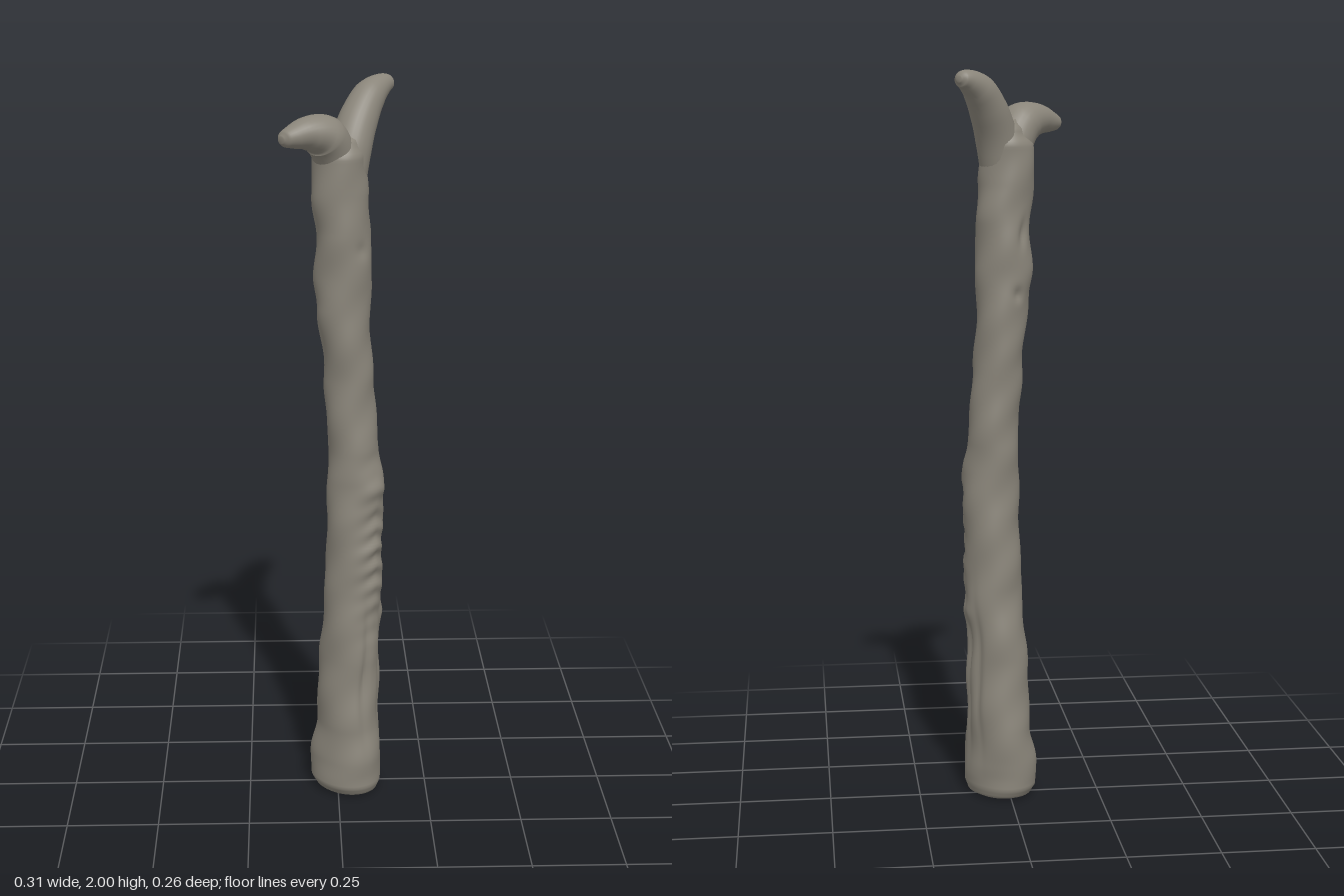
import * as THREE from 'three';

// Skins a list of closed rings (each an array of Vector3) and caps both ends.
function skin(rings) {
  const n = rings[0].length, pos = [], idx = [];
  for (const ring of rings) for (const p of ring) pos.push(p.x, p.y, p.z);
  for (let i = 0; i < rings.length - 1; i++) {
    for (let j = 0; j < n; j++) {
      const k = (j + 1) % n;
      const a = i * n + j, b = i * n + k, c = a + n, d = b + n;
      idx.push(a, b, c, b, d, c);
    }
  }
  for (const end of [0, rings.length - 1]) {
    const mid = new THREE.Vector3();
    rings[end].forEach((p) => mid.addScaledVector(p, 1 / n));
    const m = pos.length / 3;
    pos.push(mid.x, mid.y, mid.z);
    for (let j = 0; j < n; j++) {
      const a = end * n + j, b = end * n + ((j + 1) % n);
      if (end === 0) idx.push(m, b, a);
      else idx.push(m, a, b);
    }
  }
  const g = new THREE.BufferGeometry();
  g.setAttribute('position', new THREE.Float32BufferAttribute(pos, 3));
  g.setIndex(idx);
  g.computeVertexNormals();
  return g;
}

const bell = (v, mid, width) => Math.exp(-(((v - mid) / width) ** 2));
const angleGap = (a, b) => Math.atan2(Math.sin(a - b), Math.cos(a - b));

// Trunk outline: height, left x, right x, back z, front z, stretch along the diagonal
const OUTLINE = [
  [0.0, -0.035, 0.095, -0.055, 0.09, 0.1],
  [0.008, -0.06, 0.11, -0.075, 0.108, 0.1],
  [0.03, -0.073, 0.117, -0.086, 0.122, 0.1],
  [0.1, -0.072, 0.118, -0.09, 0.122, 0.1],
  [0.2, -0.058, 0.115, -0.09, 0.112, 0.08],
  [0.4, -0.05, 0.115, -0.08, 0.102, 0.05],
  [0.6, -0.035, 0.12, -0.071, 0.096, 0.02],
  [0.8, -0.03, 0.124, -0.065, 0.09, 0.0],
  [0.92, -0.027, 0.122, -0.062, 0.087, 0.0],
  [1.0, -0.026, 0.113, -0.064, 0.08, 0.0],
  [1.2, -0.035, 0.096, -0.067, 0.077, 0.0],
  [1.4, -0.055, 0.085, -0.069, 0.084, 0.0],
  [1.48, -0.063, 0.09, -0.068, 0.082, 0.0],
  [1.6, -0.058, 0.088, -0.064, 0.085, 0.0],
  [1.7, -0.068, 0.078, -0.062, 0.088, 0.0],
  [1.8, -0.067, 0.073, -0.058, 0.083, 0.0],
  [1.84, -0.05, 0.06, -0.04, 0.065, 0.0],
  [1.87, -0.025, 0.03, -0.02, 0.035, 0.0],
];

function outlineAt(y) {
  let i = 0;
  while (i < OUTLINE.length - 2 && y > OUTLINE[i + 1][0]) i++;
  const a = OUTLINE[i], b = OUTLINE[i + 1];
  const t = (y - a[0]) / (b[0] - a[0]);
  const s = y < 0.03 ? t : t * t * (3 - 2 * t);
  return a.map((v, k) => v + (b[k] - v) * s);
}

// Carved wrinkles, long bark grooves, knots and gentle lumps
function relief(y, th) {
  const g = angleGap(th, -0.72);
  const wave = Math.sin((y + 0.03 * Math.abs(g)) * (2 * Math.PI / 0.056));
  let d = 0.0055 * wave * bell(g, 0, 0.55) * bell(y, 0.72, 0.17);
  d += 0.009 * bell(g, 0, 0.6) * bell(y, 0.9, 0.035);
  const fade = bell(y, 0.36, 0.17);
  for (const [at, depth] of [[-1.05, 0.011], [0.15, 0.012], [0.75, 0.007], [-0.3, 0.006]]) {
    d -= depth * fade * bell(angleGap(th, at + 0.06 * Math.sin(y * 17)), 0, 0.13);
  }
  d += 0.008 * bell(y, 0.53, 0.025) * bell(angleGap(th, 0.1), 0, 0.35);
  d -= 0.011 * bell(y, 1.57, 0.035) * bell(angleGap(th, 2.3 + (y - 1.57) * 3), 0, 0.2);
  d -= 0.009 * bell(y, 1.41, 0.018) * bell(angleGap(th, 2.1), 0, 0.2);
  d -= 0.005 * bell(y, 1.56, 0.02) * bell(angleGap(th, -0.85), 0, 0.25);
  d += 0.0018 * Math.sin(y * 23 + th * 2) + 0.0015 * Math.sin(y * 41 - th * 3);
  return d;
}

function trunkGeometry() {
  const heights = [0, 0.004, 0.008, 0.015, 0.022];
  for (let y = 0.03; y < 1.871; y += 0.008) heights.push(y);
  const rings = heights.map((y) => {
    const [, x0, x1, z0, z1, k] = outlineAt(y);
    const calm = Math.min(1, y / 0.06);
    return Array.from({ length: 72 }, (_, j) => {
      const th = (j / 72) * Math.PI * 2;
      const stretch = 1 + k * Math.cos(2 * (th + Math.PI / 4));
      const d = relief(y, th) * calm;
      return new THREE.Vector3(
        (x0 + x1) / 2 + Math.cos(th) * (((x1 - x0) / 2) * stretch + d),
        y,
        (z0 + z1) / 2 - Math.sin(th) * (((z1 - z0) / 2) * stretch + d));
    });
  });
  return skin(rings);
}

// Tapered limb along a curve; each stop is x, y, z, radius
function limbGeometry(stops, flat) {
  const curve = new THREE.CatmullRomCurve3(stops.map((s) => new THREE.Vector3(s[0], s[1], s[2])));
  const side = new THREE.Vector3(1, 0, 1).normalize();
  const steps = 30, rings = [];
  for (let i = 0; i <= steps; i++) {
    const t = i / steps, f = t * (stops.length - 1);
    const k = Math.min(Math.floor(f), stops.length - 2);
    const r = THREE.MathUtils.lerp(stops[k][3], stops[k + 1][3], f - k);
    const p = curve.getPoint(t), tan = curve.getTangent(t);
    const up = new THREE.Vector3().crossVectors(tan, side).normalize();
    rings.push(Array.from({ length: 28 }, (_, j) => {
      const a = (j / 28) * Math.PI * 2;
      return p.clone()
        .addScaledVector(side, Math.cos(a) * r)
        .addScaledVector(up, Math.sin(a) * r * flat);
    }));
  }
  return skin(rings);
}

export function createModel() {
  const group = new THREE.Group();
  group.name = 'forkedStaff';
  const wood = new THREE.MeshStandardMaterial({ color: 0x8a857a });
  wood.name = 'weatheredWood';
  const add = (name, geometry) => {
    const mesh = new THREE.Mesh(geometry, wood);
    mesh.name = name;
    group.add(mesh);
  };

  add('trunk', trunkGeometry());
  // Tall prong leaning back and to the left
  add('tallProng', limbGeometry([
    [0.015, 1.73, 0.01, 0.06],
    [0.033, 1.82, -0.005, 0.058],
    [0.056, 1.89, -0.036, 0.053],
    [0.086, 1.945, -0.072, 0.045],
    [0.118, 1.969, -0.104, 0.031],
    [0.136, 1.973, -0.12, 0.022],
    [0.143, 1.973, -0.126, 0.008],
  ], 0.95));
  // Short stubby prong leaning forward and to the right
  add('shortProng', limbGeometry([
    [0.0, 1.74, 0.015, 0.055],
    [-0.012, 1.81, 0.025, 0.06],
    [-0.038, 1.857, 0.05, 0.062],
    [-0.08, 1.868, 0.08, 0.048],
    [-0.118, 1.862, 0.102, 0.033],
    [-0.138, 1.858, 0.113, 0.023],
    [-0.147, 1.857, 0.117, 0.01],
  ], 0.9));
  return group;
}
